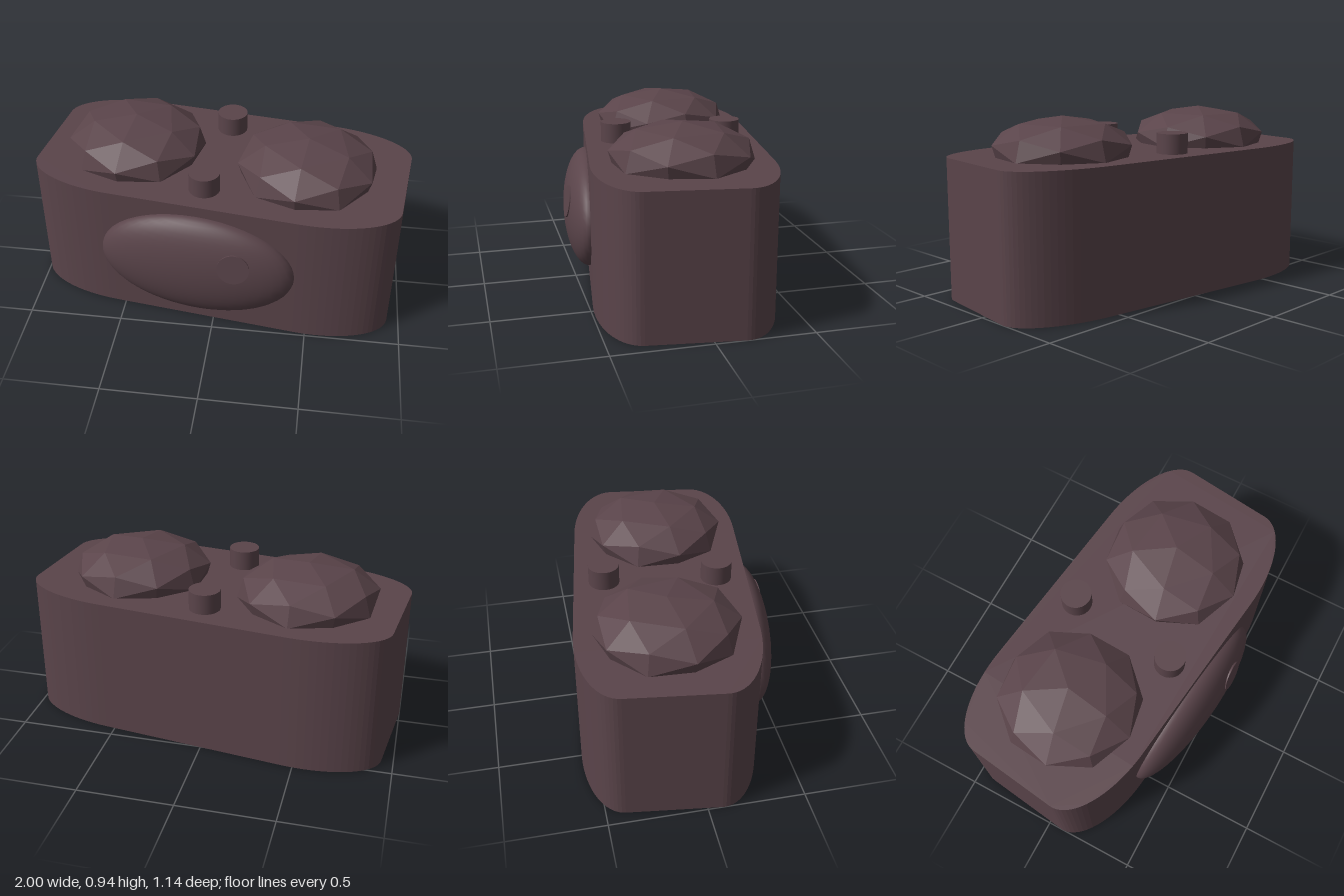
import * as THREE from 'three';
import { ConvexGeometry } from 'three/addons/geometries/ConvexGeometry.js';

const material = new THREE.MeshStandardMaterial({ color: 0x5a444a });
const flatMaterial = material.clone();
flatMaterial.flatShading = true;

const TOP = 0.74;
const HALF_DEPTH = 0.46;

function add(parent, name, geometry, position, mat = material) {
  const mesh = new THREE.Mesh(geometry, mat);
  mesh.name = name;
  mesh.position.set(...position);
  parent.add(mesh);
  return mesh;
}

// Block outline: a rectangle with long elliptical corners
function bodyGeometry() {
  const w = 0.977, d = HALF_DEPTH, rx = 0.48, ry = 0.22;
  const shape = new THREE.Shape();
  [[1, 1], [-1, 1], [-1, -1], [1, -1]].forEach(([sx, sy], i) => {
    const a = i * Math.PI / 2;
    shape.absellipse(sx * (w - rx), sy * (d - ry), rx, ry, a, a + Math.PI / 2, false, 0);
  });
  shape.closePath();
  const geometry = new THREE.ExtrudeGeometry(shape, { depth: TOP, bevelEnabled: false, curveSegments: 9 });
  return geometry.rotateX(-Math.PI / 2);
}

// Faceted ball: hull of rings of five points, mirrored through the centre
function facetedBall(radius, height) {
  const points = [new THREE.Vector3(0, 1, 0)];
  for (const [r, y, turn] of [[0.607, 0.795, 0], [0.894, 0.447, 0.5], [0.982, 0.188, 0]]) {
    for (let i = 0; i < 5; i++) {
      const a = (i + turn) * Math.PI * 2 / 5;
      points.push(new THREE.Vector3(r * Math.sin(a), y, r * Math.cos(a)));
    }
  }
  const all = points.concat(points.map((p) => p.clone().negate()));
  all.forEach((p) => p.multiply(new THREE.Vector3(radius, height, radius)));
  return new ConvexGeometry(all);
}

export function createModel() {
  const model = new THREE.Group();
  model.name = 'block';
  model.position.z = -0.04;
  model.rotation.y = -0.128;

  add(model, 'body', bodyGeometry(), [0, 0, 0]);

  // Two faceted domes set into the top
  const dome = facetedBall(0.376, 0.17);
  add(model, 'rightDome', dome, [-0.484, 0.77, 0], flatMaterial);
  add(model, 'leftDome', dome, [0.454, 0.77, 0], flatMaterial);

  // Short posts between the domes
  const post = new THREE.CylinderGeometry(0.081, 0.081, 0.145, 32);
  add(model, 'frontPost', post, [-0.028, 0.7725, 0.296]);
  add(model, 'backPost', post, [-0.028, 0.7725, -0.299]);

  // Smooth oval bulge on the front
  const radii = new THREE.Vector3(0.52, 0.302, 0.132);
  const centre = new THREE.Vector3(-0.03, 0.38, HALF_DEPTH);
  const bulge = new THREE.SphereGeometry(1, 40, 24).scale(...radii.toArray());
  add(model, 'frontBulge', bulge, centre.toArray());

  // Small disc lying on the bulge
  const dx = 0.224, dy = 0.09;
  const dz = radii.z * Math.sqrt(1 - (dx / radii.x) ** 2 - (dy / radii.y) ** 2);
  const normal = new THREE.Vector3(dx, dy, dz).divide(radii).divide(radii).normalize();
  const at = new THREE.Vector3(dx, dy, dz).add(centre).addScaledVector(normal, -0.018);
  const disc = add(model, 'bulgeDisc', new THREE.CylinderGeometry(0.083, 0.083, 0.04, 32), at.toArray());
  disc.quaternion.setFromUnitVectors(new THREE.Vector3(0, 1, 0), normal);

  const root = new THREE.Group();
  root.name = 'model';
  root.add(model);
  return root;
}
